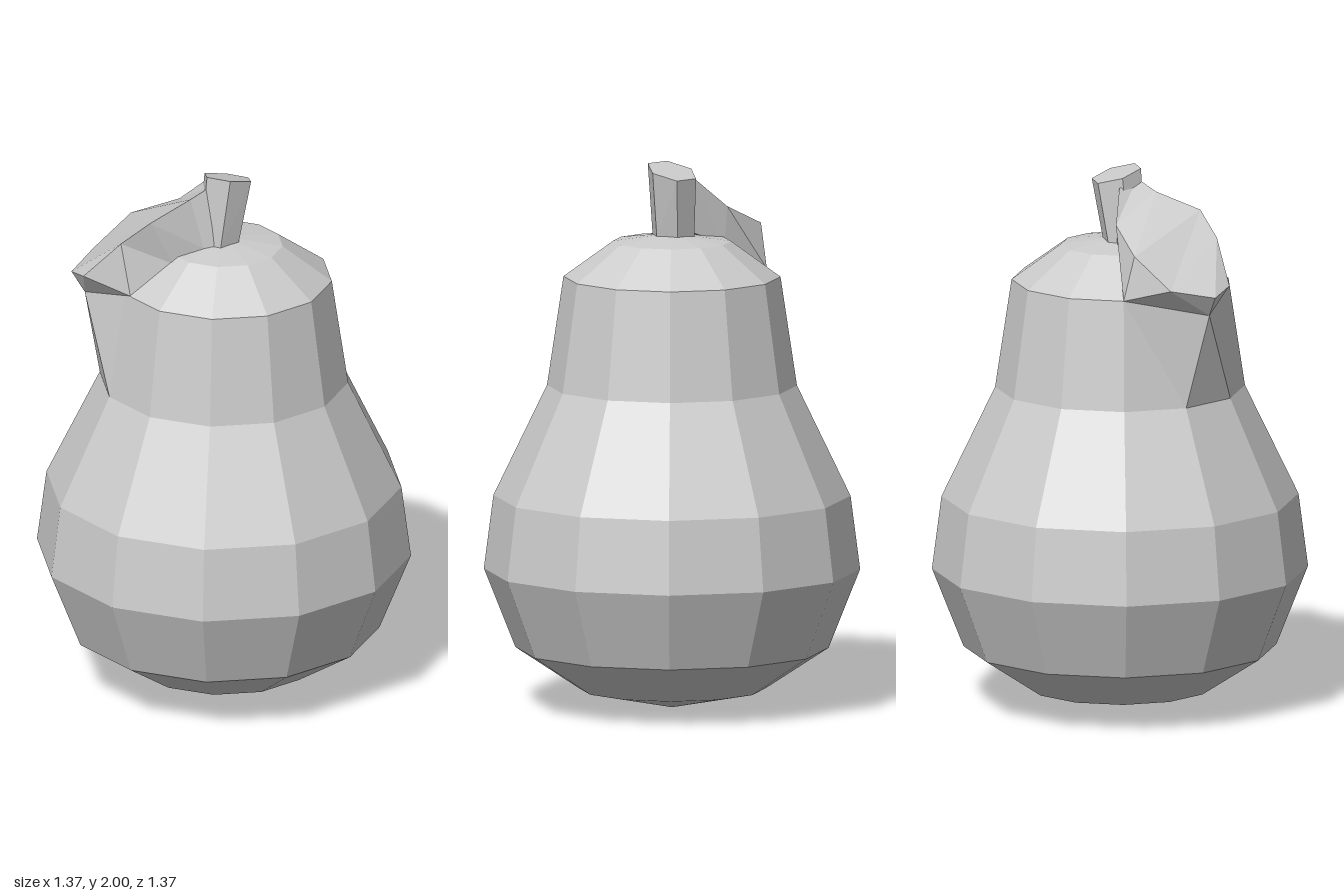
import * as THREE from 'three';

const material = new THREE.MeshStandardMaterial({ color: 0xcccccc, flatShading: true });

// Skin a series of loops (each counterclockwise about the direction of travel) and cap the end.
function loft(sections) {
  const n = sections[0].length, index = [];
  for (let i = 0; i < sections.length - 1; i++) {
    for (let j = 0; j < n; j++) {
      const a = i * n + j, b = i * n + (j + 1) % n;
      index.push(a, b, b + n, a, b + n, a + n);
    }
  }
  const end = (sections.length - 1) * n;
  for (let j = 1; j < n - 1; j++) index.push(end, end + j, end + j + 1);
  const geometry = new THREE.BufferGeometry();
  geometry.setAttribute('position', new THREE.Float32BufferAttribute(sections.flat(2), 3));
  geometry.setIndex(index);
  geometry.computeVertexNormals();
  return geometry;
}

function addMesh(group, name, geometry) {
  const mesh = new THREE.Mesh(geometry, material);
  mesh.name = name;
  group.add(mesh);
}

export function createModel() {
  const group = new THREE.Group();
  group.name = 'pear';

  // Twelve-sided body
  const profile = [
    [0, 0], [0.34, 0.07], [0.57, 0.22], [0.685, 0.51], [0.65, 0.78],
    [0.455, 1.185], [0.395, 1.585], [0.215, 1.715], [0, 1.745],
  ].map(([r, y]) => new THREE.Vector2(r, y));
  const body = new THREE.LatheGeometry(profile, 12);

  // One shoulder corner is pulled out to meet the leaf tip
  const tip = [-0.47, 1.53, -0.19];
  const corner = new THREE.Vector3(-0.342, 1.585, -0.1975);
  const position = body.attributes.position;
  const point = new THREE.Vector3();
  for (let i = 0; i < position.count; i++) {
    if (point.fromBufferAttribute(position, i).distanceTo(corner) < 0.02) position.setXYZ(i, ...tip);
  }
  body.computeVertexNormals();
  addMesh(group, 'body', body);

  // Leaning six-sided stem with a slanted cut
  const ring = (cx, cz, radius, height) => Array.from({ length: 6 }, (_, j) => {
    const t = THREE.MathUtils.degToRad(12 + 60 * j);
    const x = cx + radius * Math.cos(t), z = cz - radius * Math.sin(t);
    return [x, height(x, z), z];
  });
  addMesh(group, 'stem', loft([
    ring(-0.02, -0.005, 0.08, () => 1.73),
    ring(0.015, 0, 0.093, (x, z) => 1.975 - 0.22 * (x - 0.015) + 0.2 * z),
  ]));

  // Leaf draped over the shoulder: front base, front edge, back edge, back base
  const shoulder = [-0.1975, 1.585, -0.342];
  addMesh(group, 'leaf', loft([
    [[-0.02, 1.74, 0.06], [-0.06, 1.96, 0.02], [-0.04, 1.94, -0.08], [-0.03, 1.74, -0.08]],
    [[-0.1, 1.73, 0.045], [-0.14, 1.92, 0.015], [-0.09, 1.83, -0.2], [-0.11, 1.69, -0.19]],
    [[-0.22, 1.69, 0.045], [-0.31, 1.865, 0.04], [-0.23, 1.75, -0.32], shoulder],
    [[-0.385, 1.585, 0.03], [-0.405, 1.78, -0.01], [-0.38, 1.635, -0.32], shoulder],
    [tip, [-0.51, 1.63, -0.11], [-0.51, 1.605, -0.22], tip],
  ]));

  return group;
}
